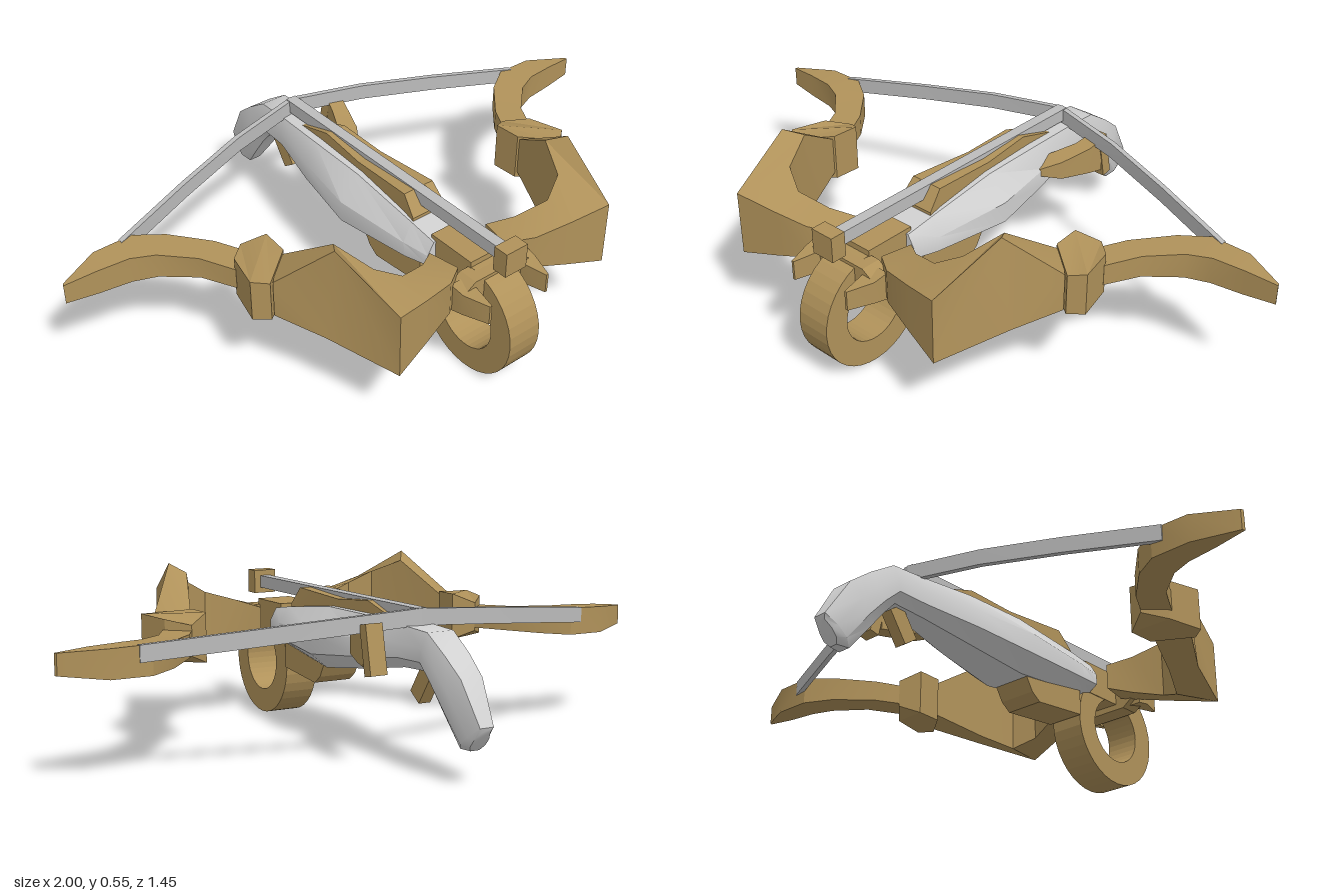
import * as THREE from 'three';
import { toCreasedNormals } from 'three/addons/utils/BufferGeometryUtils.js';

const wood = new THREE.MeshStandardMaterial({ color: 0xb0925a });
wood.name = 'tan wood';
const pale = new THREE.MeshStandardMaterial({ color: 0xd0d0d0 });
pale.name = 'pale grey';
const grey = new THREE.MeshStandardMaterial({ color: 0xbcbcbc });
grey.name = 'mid grey';

// Skin a closed solid over a list of equal-length rings of [x, y, z] points.
function loft(rings, crease = 0.5) {
  const n = rings[0].length;
  const points = rings.flat().map((p) => new THREE.Vector3(...p));
  const faces = [];
  for (let r = 0; r < rings.length - 1; r++) {
    for (let i = 0; i < n; i++) {
      const a = r * n + i, b = r * n + (i + 1) % n;
      faces.push([a, b, b + n], [a, b + n, a + n]);
    }
  }
  const end = (rings.length - 1) * n;
  for (let i = 1; i < n - 1; i++) {
    faces.push([0, i + 1, i], [end, end + i, end + i + 1]);
  }
  // Turn the faces outward whichever way the rings run.
  let volume = 0;
  const cross = new THREE.Vector3();
  for (const [a, b, c] of faces) {
    volume += points[a].dot(cross.crossVectors(points[b], points[c]));
  }
  if (volume < 0) faces.forEach((f) => f.reverse());
  const geometry = new THREE.BufferGeometry().setFromPoints(points);
  geometry.setIndex(faces.flat());
  return toCreasedNormals(geometry, crease);
}

// Ring with an outer edge [x, z, low, high] and an inner edge [x, z, low, high].
const slab = (s, o, i) => [
  [s * o[0], o[3], o[1]], [s * i[0], i[3], i[1]],
  [s * i[0], i[2], i[1]], [s * o[0], o[2], o[1]],
];

// Upright rectangular ring facing along z.
const rect = (x, z, w, low, high) => [
  [x - w, low, z], [x + w, low, z], [x + w, high, z], [x - w, high, z],
];

export function createModel() {
  const model = new THREE.Group();
  model.name = 'crossbow';
  function add(name, geometry, material, x = 0, y = 0, z = 0) {
    const mesh = new THREE.Mesh(geometry, material);
    mesh.name = name;
    mesh.position.set(x, y, z);
    model.add(mesh);
    return mesh;
  }
  const box = (name, w, h, d, material, x, y, z) =>
    add(name, new THREE.BoxGeometry(w, h, d), material, x, y, z);

  // Stock and curved grip: [top z, top y, bottom z, bottom y, half width, top width ratio]
  const stock = [
    [0.40, 0.385, 0.40, 0.285, 0.09, 0.75],
    [0.30, 0.40, 0.32, 0.267, 0.105, 0.65],
    [0.04, 0.43, 0.04, 0.235, 0.13, 0.5],
    [-0.18, 0.43, -0.18, 0.265, 0.10, 0.6],
    [-0.38, 0.42, -0.36, 0.295, 0.062, 0.75],
    [-0.49, 0.415, -0.47, 0.30, 0.06, 0.75],
    [-0.575, 0.36, -0.515, 0.25, 0.06, 0.7],
    [-0.645, 0.305, -0.56, 0.19, 0.056, 0.65],
    [-0.72, 0.18, -0.625, 0.105, 0.038, 0.6],
    [-0.715, 0.165, -0.665, 0.105, 0.026, 0.6],
  ].map(([tz, ty, bz, by, w, k]) => {
    const at = (x, f) => [x, by + (ty - by) * f, bz + (tz - bz) * f];
    return [
      at(-w * k, 1), at(w * k, 1), at(w, 0.6), at(w, 0.25),
      at(w * 0.55, 0), at(-w * 0.55, 0), at(-w, 0.25), at(-w, 0.6),
    ];
  });
  add('stock', loft(stock, 0.6), pale);

  for (const s of [1, -1]) {
    const side = s > 0 ? 'left' : 'right';

    // Inner arm, sweeping forward and rising to a peak
    const arm = [
      slab(s, [0.09, 0.53, 0.30, 0.385], [0.11, 0.43, 0.30, 0.385]),
      slab(s, [0.165, 0.583, 0.29, 0.40], [0.18, 0.48, 0.28, 0.41]),
      slab(s, [0.28, 0.614, 0.262, 0.42], [0.28, 0.51, 0.25, 0.44]),
      slab(s, [0.40, 0.645, 0.235, 0.445], [0.355, 0.475, 0.22, 0.48]),
    ];
    const bend = slab(s, [0.48, 0.42, 0.26, 0.553], [0.407, 0.365, 0.25, 0.525]);
    bend[0][0] = s * 0.445;
    arm.push(bend, slab(s, [0.555, 0.28, 0.29, 0.41], [0.47, 0.19, 0.30, 0.41]));
    add(side + 'InnerArm', loft(arm), wood);

    // Collar joining the two halves of the limb
    add(side + 'Collar', loft([
      slab(s, [0.567, 0.285, 0.285, 0.415], [0.46, 0.20, 0.275, 0.43]),
      slab(s, [0.61, 0.25, 0.285, 0.42], [0.455, 0.11, 0.275, 0.43]),
      slab(s, [0.582, 0.13, 0.285, 0.415], [0.52, 0.07, 0.305, 0.40]),
    ], 0.3), wood);

    // Outer limb, curling back to a point
    add(side + 'Limb', loft([
      slab(s, [0.585, 0.14, 0.315, 0.382], [0.515, 0.08, 0.315, 0.382]),
      slab(s, [0.64, 0.035, 0.315, 0.385], [0.56, -0.005, 0.315, 0.385]),
      slab(s, [0.73, -0.05, 0.31, 0.39], [0.655, -0.115, 0.31, 0.39]),
      slab(s, [0.80, -0.08, 0.308, 0.393], [0.74, -0.17, 0.305, 0.395]),
      slab(s, [0.90, -0.092, 0.31, 0.39], [0.866, -0.172, 0.305, 0.392]),
      slab(s, [1.0, -0.103, 0.318, 0.382], [0.996, -0.112, 0.318, 0.382]),
    ]), wood);

    // Flat string
    const string = [
      [0, 0.445, -0.385], [0.25, 0.425, -0.335], [0.50, 0.40, -0.26], [0.78, 0.37, -0.165],
    ].map(([x, y, z]) => slab(s, [x, z + 0.009, y - 0.025, y + 0.025], [x, z - 0.009, y - 0.025, y + 0.025]));
    add(side + 'String', loft(string), grey);

    // Pointed prong on the front mount
    add(side + 'Prong', loft([
      rect(s * 0.115, 0.56, 0.03, 0.28, 0.37),
      rect(s * 0.115, 0.61, 0.026, 0.29, 0.36),
      rect(s * 0.11, 0.69, 0.004, 0.295, 0.358),
    ]), wood);
  }

  // Front mount
  const crossbar = (z) => [
    [-0.13, 0.30, z], [-0.09, 0.27, z], [0.09, 0.27, z], [0.13, 0.30, z],
    [0.13, 0.355, z], [0.09, 0.38, z], [-0.09, 0.38, z], [-0.13, 0.355, z],
  ];
  add('crossbar', loft([crossbar(0.54), crossbar(0.605)], 0.1), wood);
  box('mountBlock', 0.12, 0.11, 0.17, wood, 0, 0.345, 0.465);

  // Foot ring
  const ring = new THREE.Shape().absarc(0, 0, 0.19, 0, Math.PI * 2);
  ring.holes.push(new THREE.Path().absarc(0, 0, 0.11, 0, Math.PI * 2, true));
  const ringGeometry = new THREE.ExtrudeGeometry(ring, { depth: 0.114, bevelEnabled: false, curveSegments: 18 });
  ringGeometry.translate(0, 0, -0.057).rotateY(Math.PI / 2);
  add('footRing', ringGeometry, wood, 0, 0.193, 0.535);

  // Foregrip under the stock
  const foregrip = new THREE.Shape([
    [0.34, 0.275], [0.07, 0.26], [0.07, 0.245], [0.10, 0.195], [0.135, 0.17], [0.34, 0.19],
  ].map(([z, y]) => new THREE.Vector2(-z, y)));
  const foregripGeometry = new THREE.ExtrudeGeometry(foregrip, { depth: 0.13, bevelEnabled: false });
  foregripGeometry.translate(0, 0, -0.065).rotateY(Math.PI / 2);
  add('foregrip', foregripGeometry, wood);

  // Tapered rail bed, rod and rod tip
  add('railBed', loft([
    rect(0, 0.30, 0.062, 0.38, 0.41),
    rect(0, 0.25, 0.055, 0.38, 0.468),
    rect(0, 0.02, 0.045, 0.39, 0.455),
    rect(0, -0.15, 0.036, 0.39, 0.468),
    rect(0, -0.29, 0.028, 0.39, 0.425),
  ], 0.1), wood);
  box('rod', 0.036, 0.042, 1.02, grey, 0, 0.45, 0.12);
  box('rodTip', 0.08, 0.08, 0.05, wood, 0, 0.45, 0.643);

  // Side lever with an upright handle
  add('lever', loft([
    rect(0.085, -0.16, 0.015, 0.345, 0.37),
    rect(0.105, -0.22, 0.035, 0.325, 0.385),
    rect(0.145, -0.32, 0.028, 0.315, 0.405),
    rect(0.158, -0.37, 0.026, 0.31, 0.425),
  ], 0.3), wood);
  const handle = box('leverHandle', 0.056, 0.15, 0.035, wood, 0.158, 0.36, -0.385);
  handle.rotation.x = 0.2;

  // Trigger
  const trigger = box('trigger', 0.04, 0.11, 0.055, wood, 0, 0.255, -0.42);
  trigger.rotation.x = -0.6;

  return model;
}
